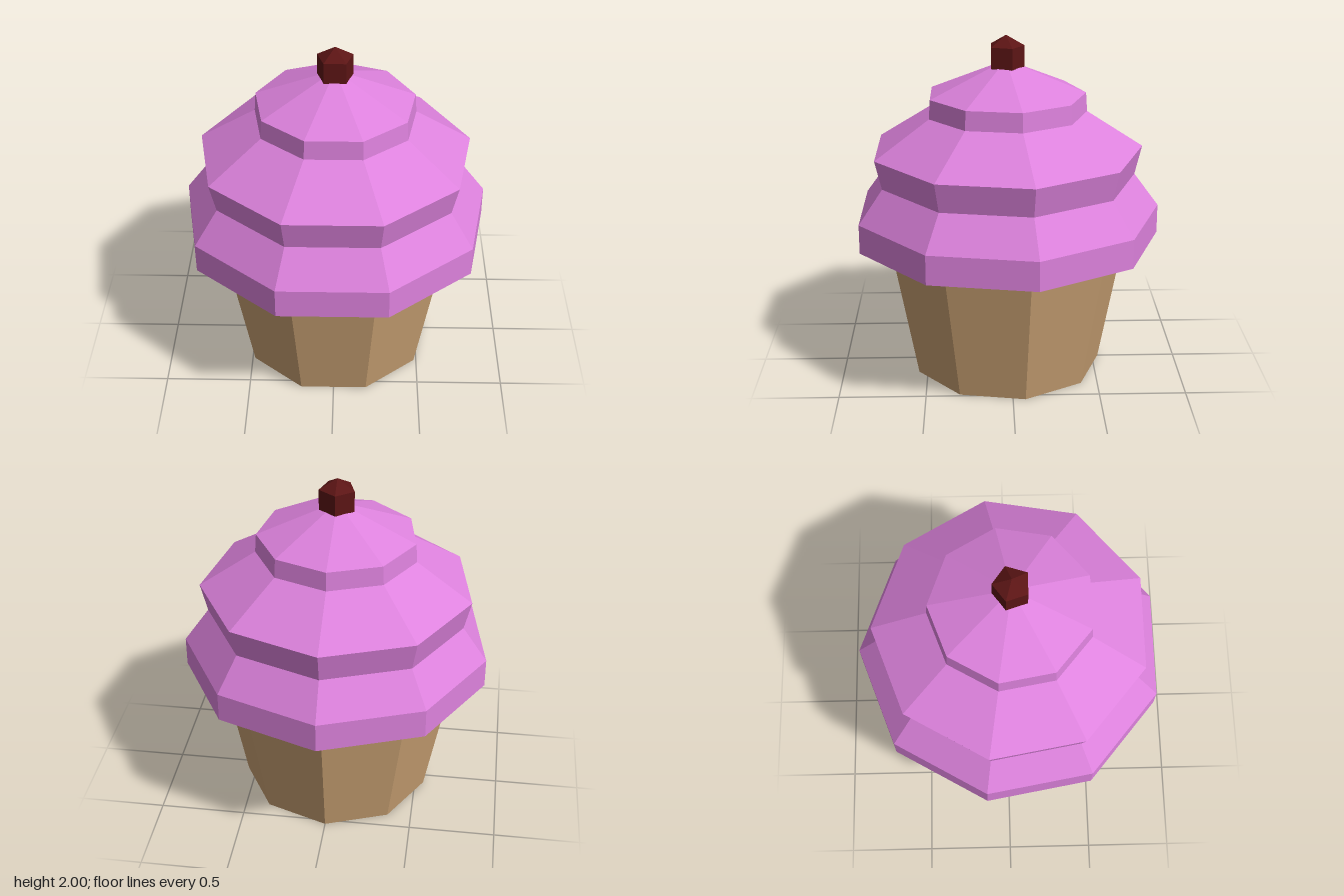
import * as THREE from 'three';

const CENTRE_Z = 0.025; // nine-sided rings: corner at the back, flat at the front

function part(name, geometry, color) {
  const material = new THREE.MeshStandardMaterial({ color, flatShading: true });
  const mesh = new THREE.Mesh(geometry, material);
  mesh.name = name;
  mesh.position.z = CENTRE_Z;
  return mesh;
}

// Turned shape with nine flat sides from [radius, height] pairs, bottom to top
function turned(profile) {
  const points = profile.map(([r, y]) => new THREE.Vector2(r, y));
  return new THREE.LatheGeometry(points, 9, Math.PI);
}

export function createModel() {
  const model = new THREE.Group();
  model.name = 'cupcake';

  // Tapered cup with a closed base
  model.add(part('cup', turned([[0, 0], [0.56, 0], [0.695, 0.73]]), 0xc9a173));

  // Three stacked swirls of frosting
  model.add(part('frosting', turned([
    [0.695, 0.73], [0.894, 0.81], [0.894, 0.98],
    [0.75, 1.175], [0.79, 1.345],
    [0.465, 1.555], [0.457, 1.665],
    [0.09, 1.82], [0, 1.82],
  ]), 0xdd82dd));

  // Five-sided cherry, its lower tip sunk into the frosting
  const cherry = part('cherry', new THREE.SphereGeometry(0.121, 5, 3, -Math.PI / 2), 0x5c1515);
  cherry.position.y = 1.879;
  model.add(cherry);

  return model;
}
